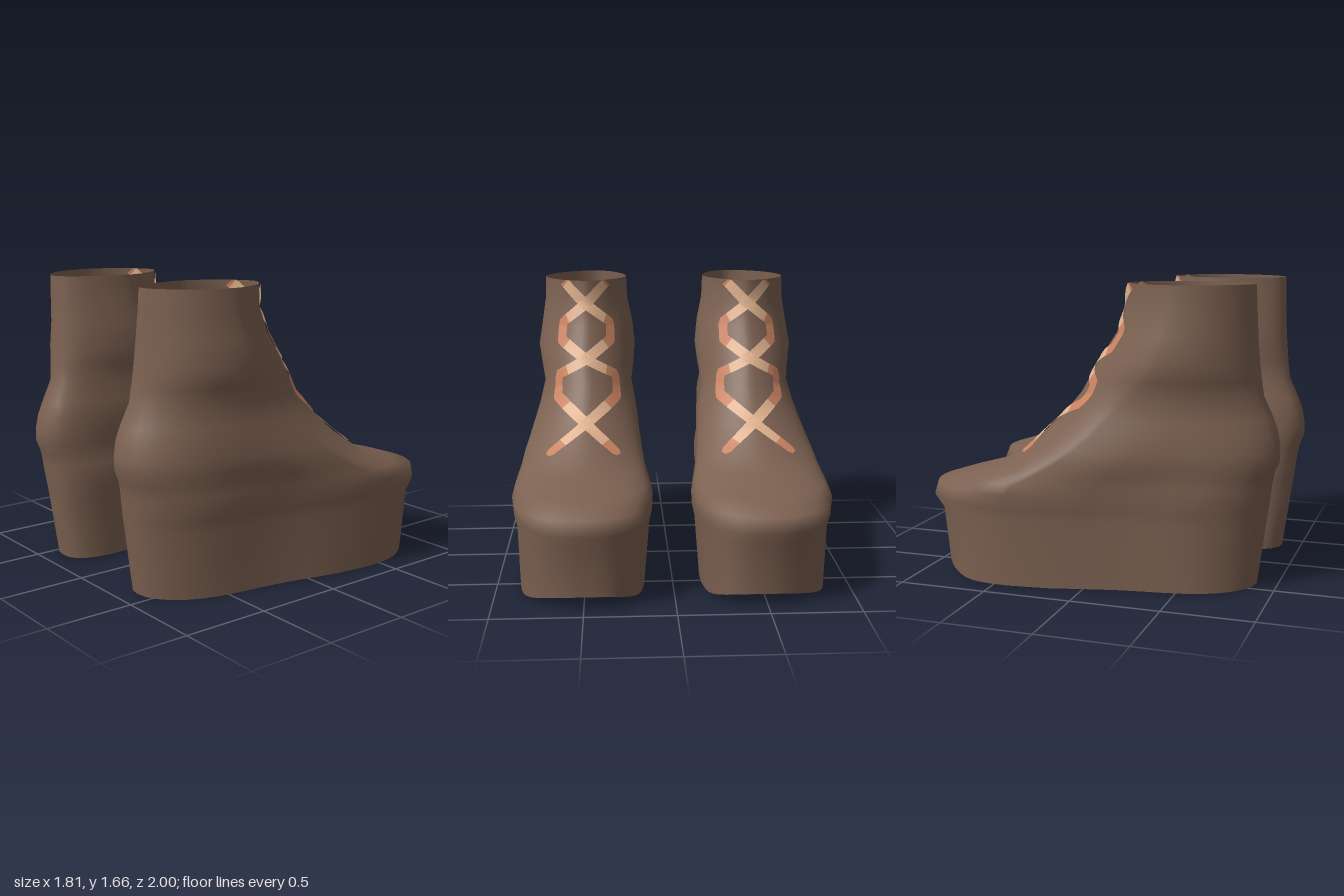
import * as THREE from 'three';

const N = 48; // points around each contour

// Contours: height, heel z, toe z, z of the widest place, inner x, outer x,
// waist pinch, roundness of the back and of the front (1 = ellipse, more = pointed)
const LEVELS = [
  [0.01, 0.885, -0.92, -0.42, 0.16, 0.87, 0.24, 0.85, 0.85],
  [0.38, 0.935, -0.945, -0.42, 0.13, 0.88, 0.24, 0.85, 0.85],
  [0.45, 0.945, -1.0, -0.42, 0.115, 0.895, 0.24, 0.85, 0.87],
  [0.53, 0.955, -0.97, -0.42, 0.11, 0.905, 0.24, 0.85, 0.9],
  [0.585, 0.962, -0.8, -0.36, 0.125, 0.89, 0.22, 0.85, 0.95],
  [0.65, 0.975, -0.57, -0.24, 0.15, 0.865, 0.18, 0.85, 1.0],
  [0.71, 1.0, -0.48, -0.14, 0.16, 0.85, 0.13, 0.85, 1.05],
  [0.78, 1.0, -0.38, -0.04, 0.172, 0.825, 0.08, 0.85, 1.1],
  [0.87, 0.985, -0.28, 0.06, 0.182, 0.795, 0.04, 0.87, 1.15],
  [0.95, 0.955, -0.2, 0.13, 0.195, 0.77, 0, 0.9, 1.15],
  [1.06, 0.905, -0.11, 0.24, 0.215, 0.745, 0, 0.95, 1.15],
  [1.16, 0.89, -0.05, 0.34, 0.2, 0.768, 0, 1.0, 1.15],
  [1.26, 0.88, 0.01, 0.41, 0.19, 0.787, 0, 1.05, 1.18],
  [1.4, 0.87, 0.1, 0.45, 0.205, 0.765, 0, 1.1, 1.2],
  [1.54, 0.865, 0.155, 0.48, 0.235, 0.745, 0, 1.1, 1.2],
  [1.67, 0.86, 0.16, 0.48, 0.24, 0.74, 0, 1.1, 1.2],
];

// Point of a contour at step i (0 = outer side, N/4 = heel, 3N/4 = toe)
function contourPoint([y, zB, zF, zW, xi, xo, pinch, eB, eF], i) {
  const a = (i / N) * Math.PI * 2, c = Math.cos(a), s = Math.sin(a);
  const back = s > 0, e = back ? eB : eF;
  const t = Math.pow(Math.abs(s), e);
  let w = ((xo - xi) / 2) * Math.sign(c) * Math.pow(Math.abs(c), e);
  if (back) w *= 1 - pinch * Math.sin(Math.PI * t) ** 2;
  // heel and toe tips curve towards the inner side
  const bend = back ? (0.12 - 0.045 * y) * t ** 3 : Math.max(0, 0.65 - y) * 0.1 * t ** 4;
  const x = (xi + xo) / 2 + w - bend;
  const z = zW + t * (back ? zB - zW : zF - zW);
  // the tread lifts under the toe
  const lift = y < 0.1 ? 0.08 * Math.max(0, (-0.65 - z) / 0.27) ** 1.5 : 0;
  return [x, y + lift, z];
}

// Triangles for a mirrored or unmirrored side
function makeGeometry(points, faces, side) {
  const g = new THREE.BufferGeometry();
  g.setAttribute('position', new THREE.Float32BufferAttribute(
    points.flatMap(([x, y, z]) => [x * side, y, z]), 3));
  g.setIndex(faces.flatMap(([a, b, c]) => (side > 0 ? [a, b, c] : [a, c, b])));
  g.computeVertexNormals();
  return g;
}

function shellGeometry(side) {
  const points = [], faces = [];
  LEVELS.forEach((level, r) => {
    for (let i = 0; i < N; i++) {
      points.push(contourPoint(level, i));
      if (r === 0) continue;
      const j = (i + 1) % N, lo = (r - 1) * N, hi = r * N;
      faces.push([lo + i, hi + i, lo + j], [lo + j, hi + i, hi + j]);
    }
  });
  return makeGeometry(points, faces, side);
}

// Flat tread between contour steps, spanning from the outer to the inner edge
function treadGeometry(from, to, side) {
  const points = [], faces = [];
  for (let i = from; i <= to; i++) {
    points.push(contourPoint(LEVELS[0], i), contourPoint(LEVELS[0], N / 2 - i));
    if (i === from) continue;
    const k = (i - from) * 2;
    faces.push([k - 2, k, k - 1], [k - 1, k, k + 1]);
  }
  return makeGeometry(points, faces, side);
}

// Front surface of the boot at a sideways offset and height
function frontPoint(dx, y) {
  let r = 1;
  while (r < LEVELS.length - 1 && LEVELS[r][0] < y) r++;
  const lo = LEVELS[r - 1], hi = LEVELS[r];
  const f = (y - lo[0]) / (hi[0] - lo[0]);
  const [, , zF, zW, xi, xo, , , e] = lo.map((v, k) => v + (hi[k] - v) * f);
  const u = Math.abs(dx) / ((xo - xi) / 2);
  const z = zW + (zF - zW) * Math.pow(1 - Math.pow(u, 2 / e), e / 2);
  return new THREE.Vector3((xi + xo) / 2 + dx, y, z);
}

// One lace strand: sideways offset and height
const LACE = [[0.125, 1.665], [0, 1.53], [-0.135, 1.42], [-0.14, 1.32], [0, 1.22],
  [0.16, 1.13], [0.168, 1.01], [0, 0.885], [-0.2, 0.73]];

// Ribbon laid on the front; returns the crossing parts or the side parts
function laceGeometry(flip, offset, outer, side) {
  const points = [], faces = [], path = [];
  for (let k = 1; k < LACE.length; k++)
    for (let s = 0; s < 10; s++)
      path.push([0, 1].map((c) => LACE[k - 1][c] + (LACE[k][c] - LACE[k - 1][c]) * (s / 10)));
  path.push(LACE[LACE.length - 1]);
  const d = 0.01, last = path.length - 1;
  path.forEach(([dx, y], k) => {
    const p = frontPoint(dx * flip, y);
    const a = path[Math.max(0, k - 1)], b = path[Math.min(last, k + 1)];
    const along = frontPoint(b[0] * flip, b[1]).sub(frontPoint(a[0] * flip, a[1]));
    const across = frontPoint(dx * flip + d, y).sub(frontPoint(dx * flip - d, y));
    const up = frontPoint(dx * flip, Math.min(1.67, y + d)).sub(frontPoint(dx * flip, y - d));
    const normal = up.cross(across).normalize();
    // the lower end is rounded
    const width = k === last ? 0.017 : 0.032;
    const half = along.cross(normal).normalize().multiplyScalar(width);
    for (const e of [-1, 1]) {
      const q = p.clone().addScaledVector(half, e);
      // keep the ribbon edge on the curved surface
      const base = frontPoint(q.x - (p.x - dx * flip), Math.min(q.y, 1.67));
      points.push(base.addScaledVector(normal, offset).toArray());
    }
    const mid = k ? (Math.abs(dx) + Math.abs(path[k - 1][0])) / 2 : 0;
    if (k && mid > 0.112 === outer) {
      const n = k * 2;
      faces.push([n - 2, n, n - 1], [n - 1, n, n + 1]);
    }
  });
  return makeGeometry(points, faces, side);
}

export function createModel() {
  const mat = (name, color) => {
    const m = new THREE.MeshStandardMaterial({ color, side: THREE.DoubleSide });
    m.name = name;
    return m;
  };
  const leather = mat('brown leather', 0x7c6151);
  const laceLight = mat('light tan lace', 0xdfb18d);
  const laceDark = mat('orange tan lace', 0xc98260);

  const model = new THREE.Group();
  model.name = 'platformBoots';
  for (const side of [1, -1]) {
    const boot = new THREE.Group();
    boot.name = side > 0 ? 'leftBoot' : 'rightBoot';
    const add = (name, geometry, material) => {
      const mesh = new THREE.Mesh(geometry, material);
      mesh.name = name;
      boot.add(mesh);
    };
    add('bootShell', shellGeometry(side), leather);
    // treads, open under the arch
    add('heelTread', treadGeometry(8, N / 4, side), leather);
    add('foreTread', treadGeometry(-N / 4, 3, side), leather);
    // laces outside, showing through on the inside
    for (const flip of [1, -1])
      for (const offset of [0.009, -0.006]) {
        add('laceCrossing', laceGeometry(flip, offset, false, side), laceLight);
        add('laceSide', laceGeometry(flip, offset, true, side), laceDark);
      }
    model.add(boot);
  }
  return model;
}
